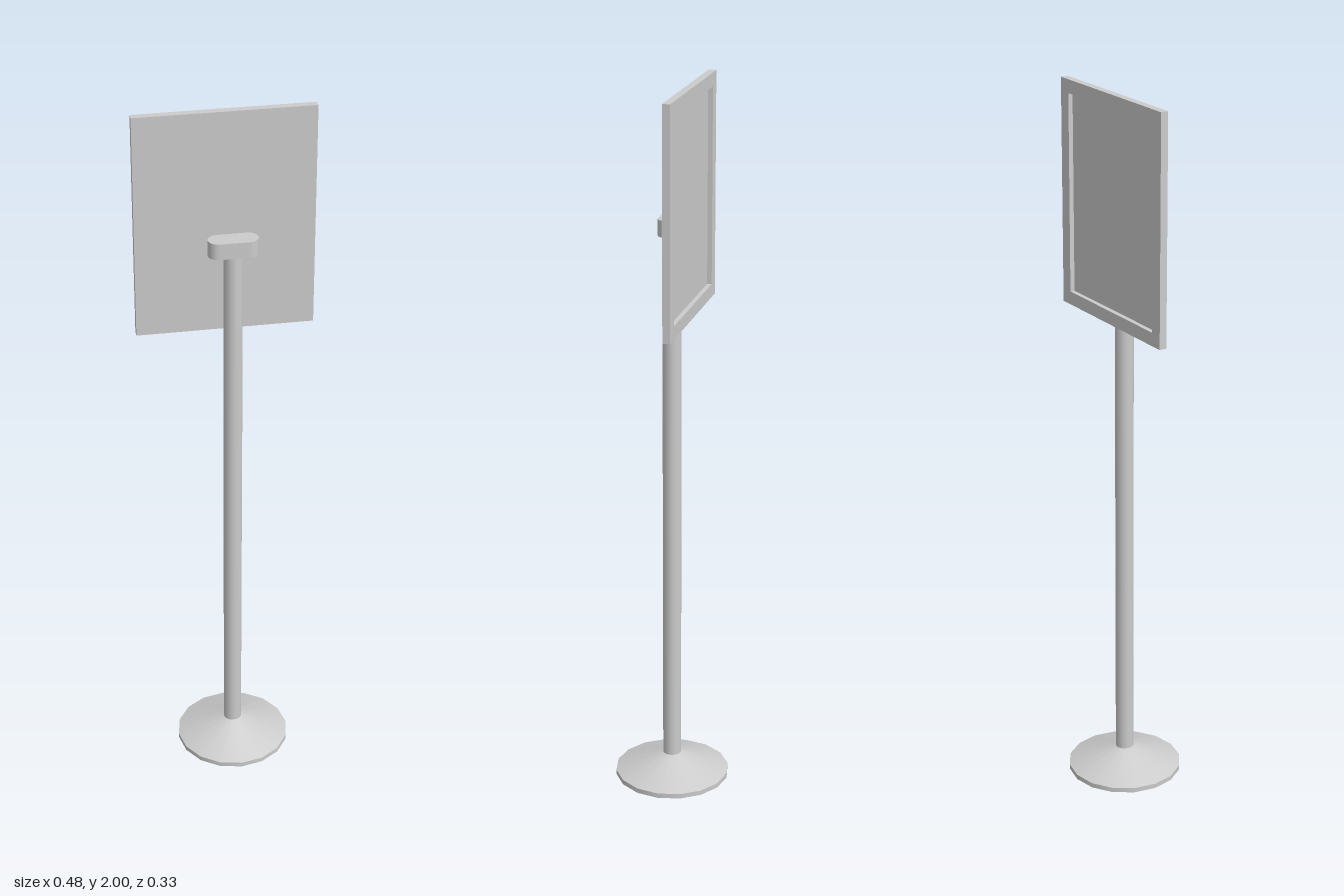
import * as THREE from 'three';

const material = new THREE.MeshStandardMaterial({ color: 0xcccccc });

function addPart(group, name, geometry, x, y, z) {
  const mesh = new THREE.Mesh(geometry, material);
  mesh.name = name;
  mesh.position.set(x, y, z);
  group.add(mesh);
  return mesh;
}

// Rectangle outline centred on the origin, usable as shape or hole
function rectangle(Type, w, h) {
  return new Type([[-w, -h], [w, -h], [w, h], [-w, h]].map(([x, y]) => new THREE.Vector2(x / 2, y / 2)));
}

export function createModel() {
  const model = new THREE.Group();
  model.name = 'signStand';
  const standX = 0.015; // the stand sits slightly off the board's centre

  // Foot: thin rim with a shallow cone on top
  const rimH = 0.014, coneH = 0.051, footR = 0.163, poleR = 0.026;
  addPart(model, 'footRim', new THREE.CylinderGeometry(footR, footR, rimH, 16), standX, rimH / 2, 0);
  addPart(model, 'footCone', new THREE.CylinderGeometry(poleR, footR, coneH, 16, 1, true),
    standX, rimH + coneH / 2, 0);

  // Pole
  const poleBottom = 0.06, poleTop = 1.615;
  addPart(model, 'pole', new THREE.CylinderGeometry(poleR, poleR, poleTop - poleBottom, 16),
    standX, (poleBottom + poleTop) / 2, 0);

  // Bracket: stadium-shaped block on top of the pole
  const r = 0.0275, half = 0.067 - r;
  const stadium = new THREE.Shape();
  stadium.absarc(half, 0, r, -Math.PI / 2, Math.PI / 2);
  stadium.absarc(-half, 0, r, Math.PI / 2, Math.PI * 1.5);
  stadium.closePath();
  const bracket = new THREE.ExtrudeGeometry(stadium, { depth: 0.045, bevelEnabled: false, curveSegments: 10 });
  bracket.rotateX(-Math.PI / 2);
  addPart(model, 'bracket', bracket, standX, poleTop, 0);

  // Board: backing panel with a raised frame facing the rear
  const w = 0.478, h = 0.623, border = 0.037, panelT = 0.008, frameT = 0.013;
  const boardY = 2 - h / 2, frontZ = -0.034;
  addPart(model, 'boardPanel', new THREE.BoxGeometry(w, h, panelT), 0, boardY, frontZ - panelT / 2);
  const frame = rectangle(THREE.Shape, w, h);
  frame.holes.push(rectangle(THREE.Path, w - 2 * border, h - 2 * border));
  addPart(model, 'boardFrame', new THREE.ExtrudeGeometry(frame, { depth: frameT, bevelEnabled: false }),
    0, boardY, frontZ - panelT - frameT);

  return model;
}
